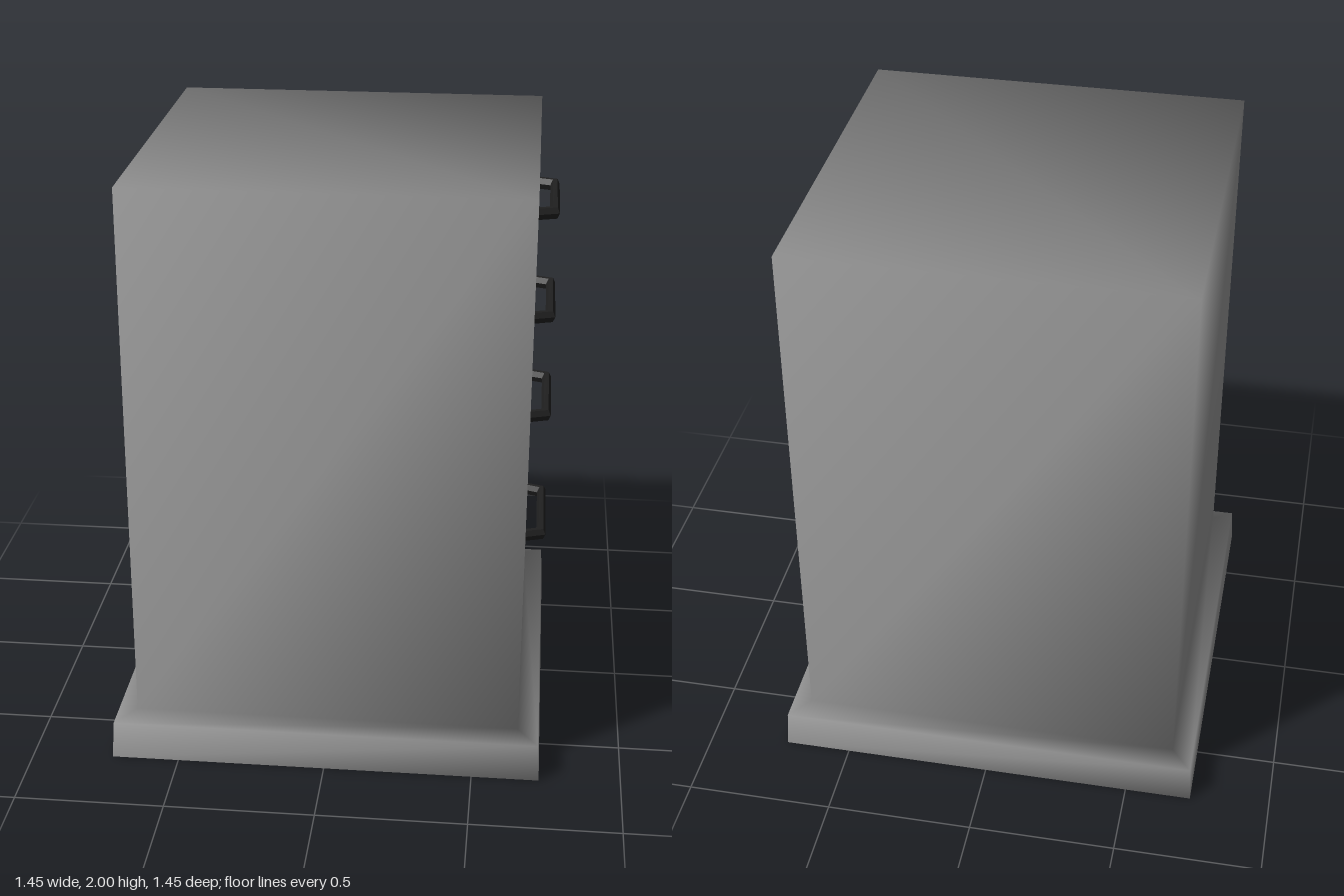
import * as THREE from 'three';

const HALF = 0.65, FACE = 0.6;
const shell = new THREE.MeshStandardMaterial({ color: 0x929292, side: THREE.DoubleSide });
const drawerMat = new THREE.MeshStandardMaterial({ color: 0x3a3a3a });
const handleMat = new THREE.MeshStandardMaterial({ color: 0x202020, flatShading: true });

function add(parent, name, geometry, material, x = 0, y = 0, z = 0) {
  const mesh = new THREE.Mesh(geometry, material);
  mesh.name = name;
  mesh.position.set(x, y, z);
  parent.add(mesh);
  return mesh;
}

// Softly shaded hollow shell: square rings for plinth, ledge and walls, closed on top
function cabinetGeometry() {
  const rings = [[0.727, 0], [0.72, 0.13], [HALF, 0.15], [HALF, 2]];
  const corners = [[1, 1], [1, -1], [-1, -1], [-1, 1]];
  const pos = [], index = [12, 13, 14, 12, 14, 15];
  for (const [half, y] of rings) for (const [x, z] of corners) pos.push(x * half, y, z * half);
  for (let r = 0; r < 3; r++) {
    for (let k = 3; k >= 0; k--) {
      const a = r * 4 + k, b = r * 4 + (k + 1) % 4;
      index.push(a, b, b + 4, a, b + 4, a + 4);
    }
  }
  const g = new THREE.BufferGeometry();
  g.setAttribute('position', new THREE.Float32BufferAttribute(pos, 3));
  g.setIndex(index);
  g.computeVertexNormals();
  // The last wall is left open for the drawers
  g.setIndex(index.slice(0, -6));
  return g;
}

// Bent bar handle: a six-sided section swept along a mitred path
function handleGeometry() {
  const path = [[0.59, 0.009, 0.23], [0.704, 0.007, 0.185], [0.704, -0.007, -0.185], [0.59, -0.009, -0.23]]
    .map(p => new THREE.Vector3(...p));
  const sides = 6, pos = [], index = [];
  path.forEach((p, i) => {
    const a = p.clone().sub(path[Math.max(i - 1, 0)]).setY(0).normalize();
    const b = path[Math.min(i + 1, 3)].clone().sub(p).setY(0).normalize();
    const t = a.clone().add(b).normalize();
    const miter = 1 / t.dot(i < 3 ? b : a);
    for (let k = 0; k < sides; k++) {
      const ang = (k / sides) * Math.PI * 2;
      const w = Math.cos(ang) * 0.016 * miter;
      pos.push(p.x - t.z * w, p.y + Math.sin(ang) * 0.022, p.z + t.x * w);
      if (i < 3) {
        const q = i * sides + k, n = i * sides + (k + 1) % sides;
        index.push(q, q + sides, n, n, q + sides, n + sides);
      }
    }
  });
  const g = new THREE.BufferGeometry();
  g.setAttribute('position', new THREE.Float32BufferAttribute(pos, 3));
  g.setIndex(index);
  g.computeVertexNormals();
  return g;
}

export function createModel() {
  const model = new THREE.Group();
  model.name = 'drawerCabinet';
  add(model, 'cabinetShell', cabinetGeometry(), shell);

  // Frame around the recessed drawers, just inside the shell
  const rect = (path, w, y0, y1) => path.moveTo(-w, y0).lineTo(w, y0).lineTo(w, y1).lineTo(-w, y1).closePath();
  const outline = new THREE.Shape(), hole = new THREE.Path();
  rect(outline, HALF - 0.003, 0.152, 1.997);
  rect(hole, 0.572, 0.16, 1.925);
  outline.holes.push(hole);
  const frame = new THREE.ExtrudeGeometry(outline, { depth: HALF - FACE + 0.02, bevelEnabled: false });
  add(model, 'drawerFrame', frame, shell, FACE - 0.02).rotation.y = Math.PI / 2;

  // Drawers: bottom, top and handle height
  const drawers = [[0.165, 0.85, 0.65], [0.872, 1.208, 1.1], [1.23, 1.562, 1.455], [1.584, 1.918, 1.813]];
  const handle = handleGeometry();
  drawers.forEach(([y0, y1, grip], i) => {
    const drawer = new THREE.Group();
    drawer.name = 'drawer' + (i + 1);
    add(drawer, 'drawerFront', new THREE.BoxGeometry(0.02, y1 - y0, 1.13), drawerMat, FACE - 0.01, (y0 + y1) / 2);
    add(drawer, 'handle', handle, handleMat, 0, grip);
    model.add(drawer);
    // Rail between neighbouring drawers
    if (i < 3) {
      const next = drawers[i + 1][0];
      add(model, 'rail', new THREE.BoxGeometry(0.025, next - y1, 1.144), shell, FACE - 0.0075, (y1 + next) / 2);
    }
  });
  // Narrow strips closing the gaps beside the drawers
  for (const s of [-1, 1]) {
    add(model, 'sideStrip', new THREE.BoxGeometry(0.02, 1.765, 0.007), shell, FACE - 0.01, 1.0425, s * 0.5685);
  }
  return model;
}
